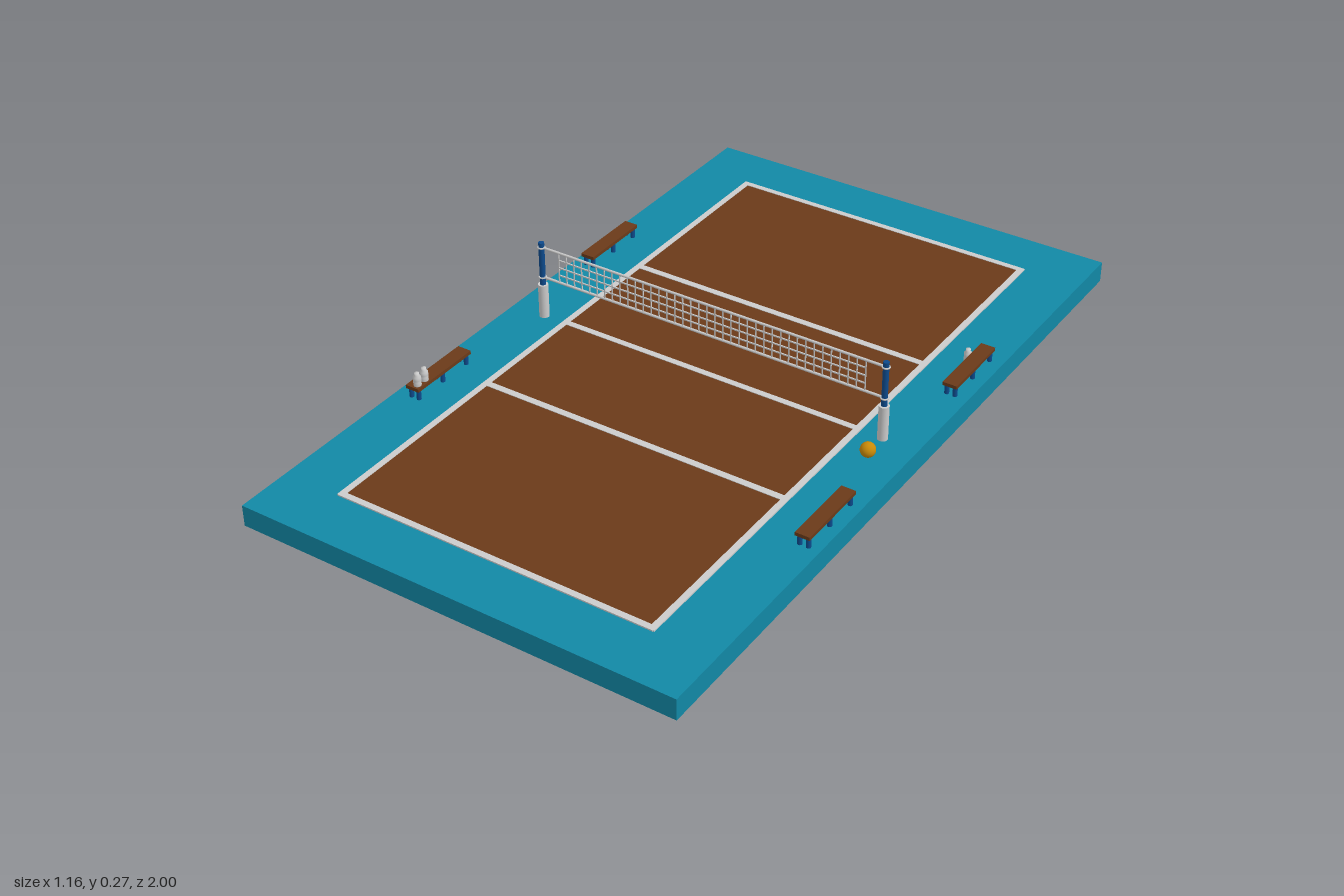
import * as THREE from 'three';

const mat = (color) => new THREE.MeshStandardMaterial({ color });
const TEAL = mat(0x1288a5), BROWN = mat(0x6b3a19), GREY = mat(0xcccccc);
const BLUE = mat(0x0d4a8c), AMBER = mat(0xc98a08);
const GROUND = 0.056;

function add(parent, name, geometry, material, x = 0, y = 0, z = 0) {
  const mesh = new THREE.Mesh(geometry, material);
  mesh.name = name;
  mesh.position.set(x, y, z);
  parent.add(mesh);
  return mesh;
}
const box = (w, h, d) => new THREE.BoxGeometry(w, h, d);
const cyl = (r, h, sides = 20) => new THREE.CylinderGeometry(r, r, h, sides);

function group(parent, name, x = 0, y = 0, z = 0) {
  const g = new THREE.Group();
  g.name = name;
  g.position.set(x, y, z);
  parent.add(g);
  return g;
}

// Slab, playing surface and painted lines
function addCourt(root) {
  const g = group(root, 'court');
  add(g, 'slab', box(1.16, GROUND, 2), TEAL, 0, GROUND / 2, 0);
  add(g, 'playingSurface', box(0.84, 0.004, 1.7), BROWN, 0, GROUND, 0);
  const y = GROUND + 0.001;
  for (const s of [-1, 1]) {
    add(g, 'sideLine', box(0.016, 0.005, 1.71), GREY, s * 0.42, y, 0);
    add(g, 'endLine', box(0.85, 0.005, 0.016), GREY, 0, y, s * 0.848);
    add(g, 'attackLine', box(0.83, 0.005, 0.018), GREY, 0, y, s * 0.323);
  }
  add(g, 'centreLine', box(0.83, 0.005, 0.017), GREY, 0, y, 0);
}

// Padded post with a slimmer pole and rope loops
function addPost(root, x) {
  const g = group(root, 'post', x, 0, 0);
  add(g, 'postPad', cyl(0.013, 0.093), GREY, 0, GROUND + 0.0465, 0);
  add(g, 'pole', cyl(0.0075, 0.12), BLUE, 0, 0.209, 0);
  for (const y of [0.17, 0.255]) {
    add(g, 'ropeLoop', new THREE.TorusGeometry(0.0085, 0.0022, 6, 20), GREY, 0, y, 0).rotation.x = Math.PI / 2;
  }
}

function addNet(root) {
  const g = group(root, 'net');
  const half = 0.434, bottom = 0.17, top = 0.255, columns = 38, rows = 4;
  for (const y of [bottom, top]) {
    add(g, 'edgeRope', cyl(0.0035, 0.976, 8), GREY, 0, y, 0).rotation.z = Math.PI / 2;
  }
  for (let i = 0; i <= columns; i++) {
    add(g, 'verticalCord', box(0.0026, top - bottom, 0.0026), GREY,
      -half + (2 * half * i) / columns, (top + bottom) / 2, 0);
  }
  for (let j = 1; j < rows; j++) {
    add(g, 'horizontalCord', box(2 * half, 0.0032, 0.0032), GREY,
      0, bottom + ((top - bottom) * j) / rows, 0);
  }
}

// Plank on three pairs of round legs
function addBench(root, x, z) {
  const g = group(root, 'bench', x, GROUND, z);
  add(g, 'seat', box(0.038, 0.009, 0.2), BROWN, 0, 0.0305, 0);
  for (const dz of [-0.09, 0, 0.09]) {
    for (const dx of [-0.011, 0.011]) {
      add(g, 'benchLeg', cyl(0.006, 0.028, 12), BLUE, dx, 0.014, dz);
    }
  }
}

// Turned drinking bottle
function addBottle(root, x, y, z) {
  const profile = [[0, 0], [0.009, 0], [0.01, 0.002], [0.01, 0.012], [0.0088, 0.014], [0.01, 0.016],
    [0.01, 0.025], [0.006, 0.03], [0.006, 0.036], [0, 0.036]].map(([r, h]) => new THREE.Vector2(r, h));
  add(root, 'bottle', new THREE.LatheGeometry(profile, 20), GREY, x, y, z);
}

export function createModel() {
  const root = new THREE.Group();
  root.name = 'volleyballCourt';
  addCourt(root);
  addPost(root, -0.486);
  addPost(root, 0.486);
  addNet(root);
  for (const [x, z] of [[-0.532, -0.35], [-0.526, 0.37], [0.534, -0.336], [0.539, 0.35]]) addBench(root, x, z);
  addBottle(root, -0.52, 0.091, 0.43);
  addBottle(root, -0.52, 0.091, 0.456);
  addBottle(root, 0.501, GROUND, -0.395);
  add(root, 'ball', new THREE.SphereGeometry(0.019, 28, 18), AMBER, 0.492, GROUND + 0.019, 0.08);
  return root;
}
